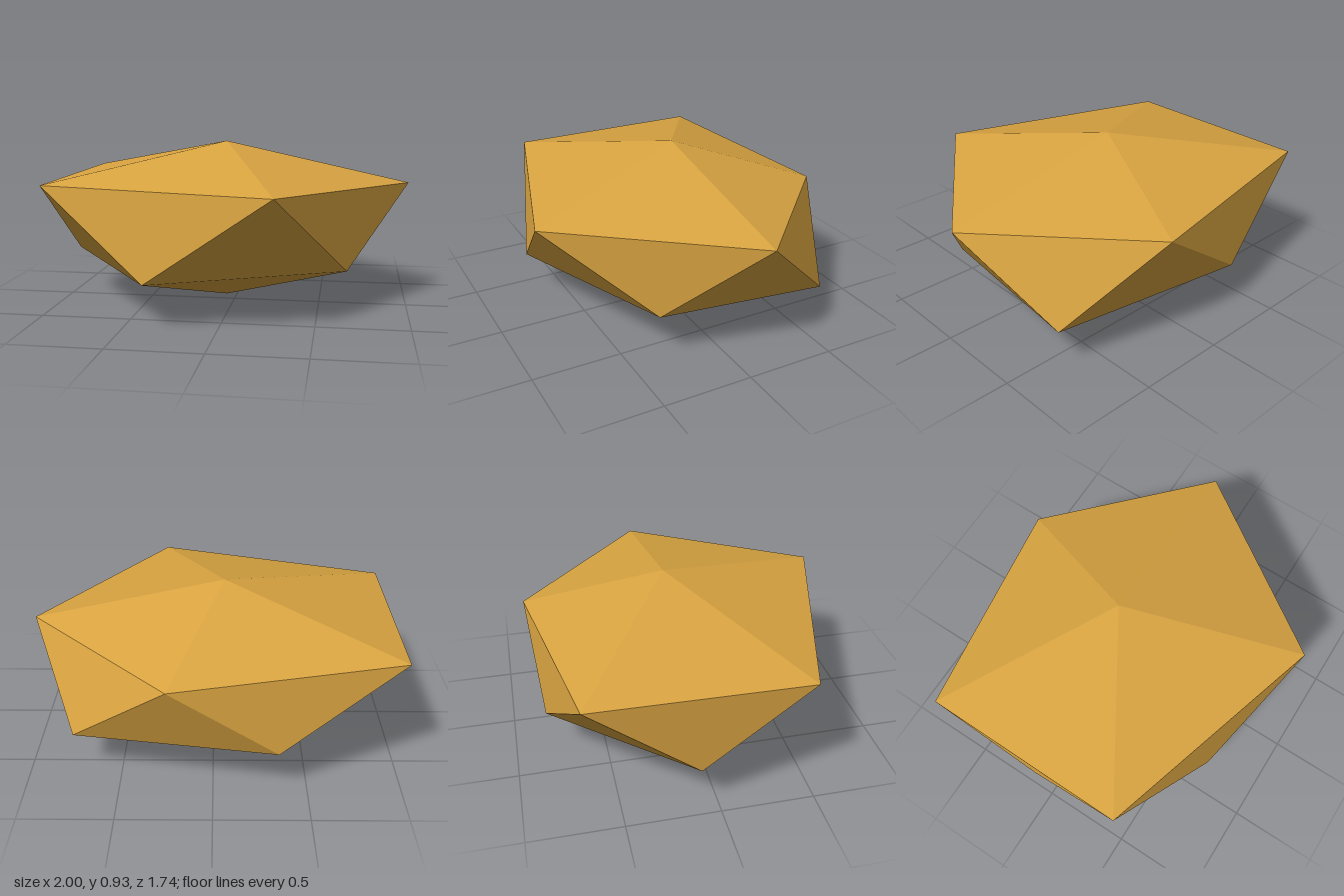
import * as THREE from 'three';

export function createModel() {
  const group = new THREE.Group();
  group.name = 'facetedNugget';

  const gold = new THREE.MeshStandardMaterial({ color: 0xd9a441 });
  gold.name = 'gold';

  // Two poles and two staggered five-point rings, counter-clockwise from above
  const top = [-0.06, 0.93, -0.105];
  const bottom = [-0.06, 0, -0.105];
  const upper = [
    [1, 0.7, -0.11], [0.23, 0.67, -0.87], [-0.99, 0.725, -0.68],
    [-1, 0.72, 0.47], [0.31, 0.73, 0.865],
  ];
  const lower = [
    [0.75, 0.245, -0.61], [-0.34, 0.275, -0.82], [-0.975, 0.265, -0.1],
    [-0.38, 0.245, 0.705], [0.66, 0.27, 0.345],
  ];

  // Caps fan out from the poles; a zigzag band joins the rings
  const points = [];
  for (let i = 0; i < 5; i++) {
    const j = (i + 1) % 5;
    points.push(
      top, upper[i], upper[j],
      upper[i], lower[i], upper[j],
      lower[i], lower[j], upper[j],
      bottom, lower[j], lower[i],
    );
  }

  // Unshared corners give each facet its own flat normal
  const geometry = new THREE.BufferGeometry();
  geometry.setAttribute('position', new THREE.Float32BufferAttribute(points.flat(), 3));
  geometry.computeVertexNormals();

  const nugget = new THREE.Mesh(geometry, gold);
  nugget.name = 'nugget';
  group.add(nugget);
  return group;
}
